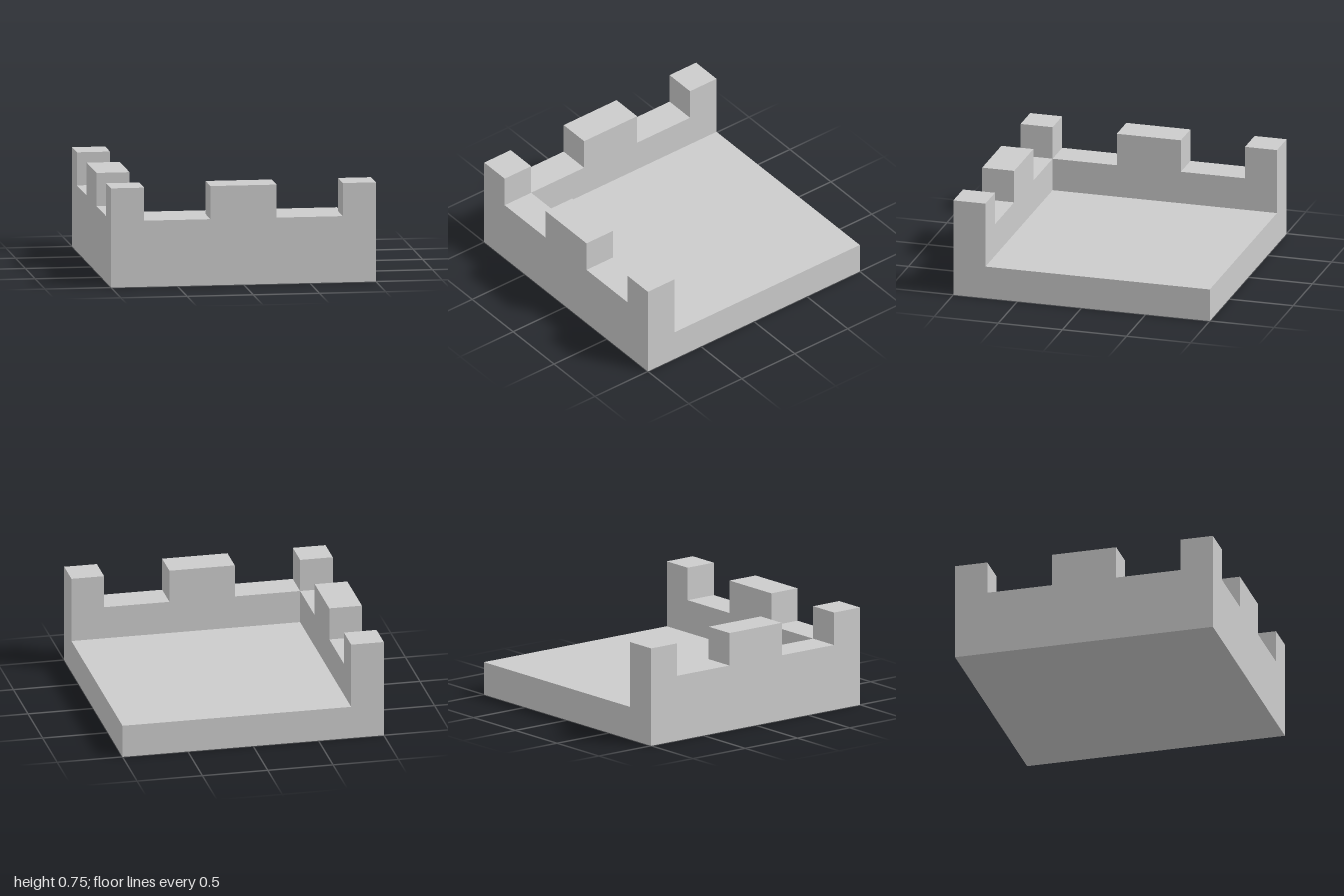
import * as THREE from 'three';

const SLAB = 0.25, WALL = 0.5, TOP = 0.75, THICK = 0.25;

// Battlement outline from -1 to end; merlons are [start, stop] pairs
function battlement(end, merlons) {
  const shape = new THREE.Shape();
  shape.moveTo(-1, 0);
  shape.lineTo(end, 0);
  let last = end;
  for (const [a, b] of [...merlons].reverse()) {
    if (b < last) {
      shape.lineTo(last, WALL);
      shape.lineTo(b, WALL);
    }
    shape.lineTo(b, TOP);
    shape.lineTo(a, TOP);
    last = a;
  }
  return new THREE.ExtrudeGeometry(shape, { depth: THICK, bevelEnabled: false });
}

export function createModel() {
  const group = new THREE.Group();
  const material = new THREE.MeshStandardMaterial({ color: 0xcccccc, flatShading: true });
  const add = (name, geometry, x, y, z) => {
    const mesh = new THREE.Mesh(geometry, material);
    mesh.name = name;
    mesh.position.set(x, y, z);
    group.add(mesh);
  };

  // Floor inside the two walls
  const inner = 2 - THICK;
  add('floor', new THREE.BoxGeometry(inner, SLAB, inner), THICK / 2, SLAB / 2, -THICK / 2);

  // Front wall, including both corner merlons
  add('frontWall', battlement(1, [[-1, -0.75], [-0.25, 0.25], [0.75, 1]]), 0, 0, 1 - THICK);

  // Side wall on -x, meeting the front wall at its corner merlon
  const side = battlement(1 - THICK, [[-1, -0.75], [-0.25, 0.25]]).rotateY(-Math.PI / 2);
  add('sideWall', side, -1 + THICK, 0, 0);

  return group;
}
